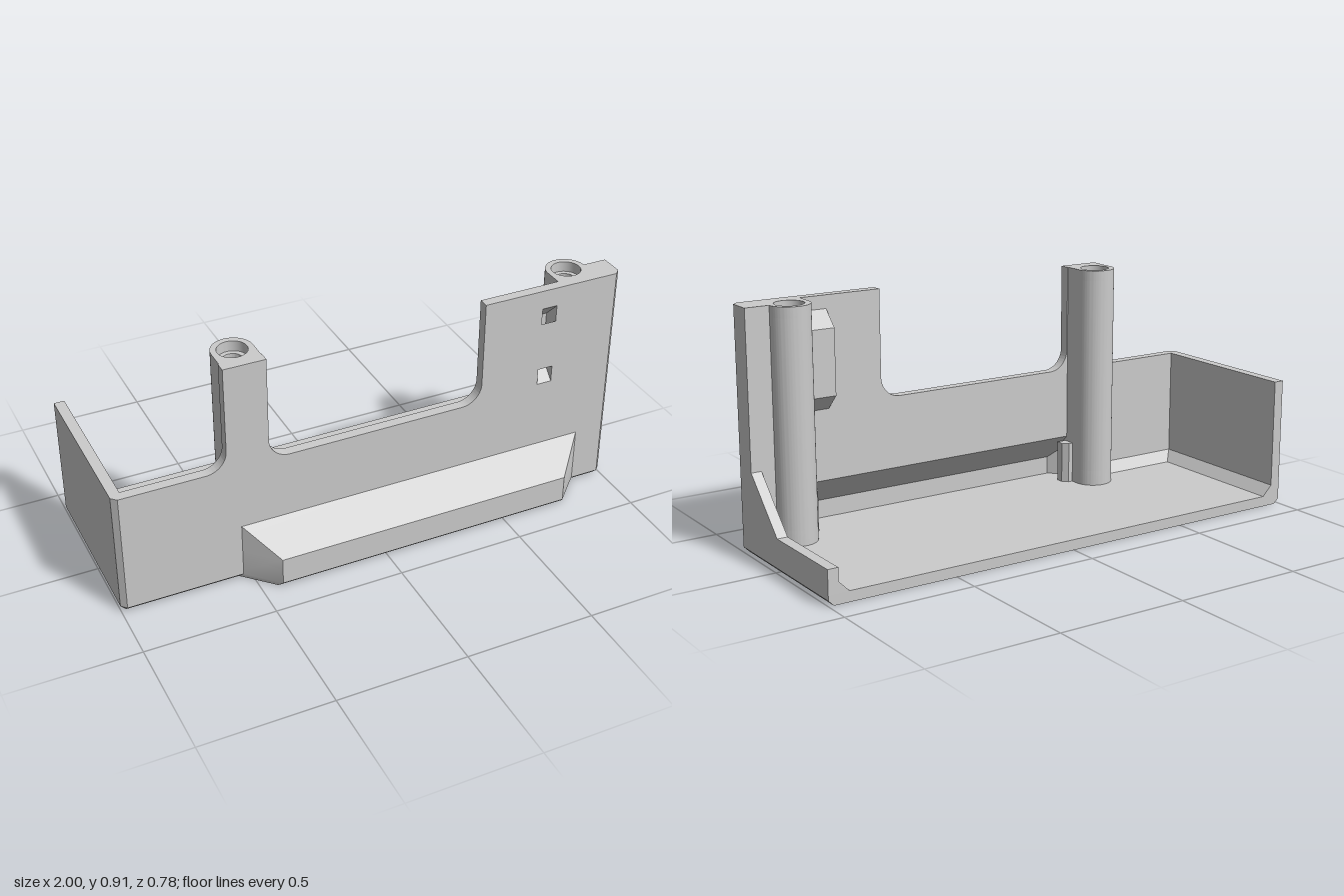
import * as THREE from 'three';
import { toCreasedNormals } from 'three/addons/utils/BufferGeometryUtils.js';

const material = new THREE.MeshStandardMaterial({ color: 0xcccccc, side: THREE.DoubleSide });

const polygon = (pts) => new THREE.Shape(pts.map(([x, y]) => new THREE.Vector2(x, y)));
const rectHole = (x0, x1, y0, y1) => new THREE.Path(polygon([[x0, y0], [x0, y1], [x1, y1], [x1, y0]]).getPoints());
const circleHole = (x, y, r) => new THREE.Path().absarc(x, y, r, 0, Math.PI * 2, true);
const extrude = (shape, depth, steps = 1) =>
  new THREE.ExtrudeGeometry(shape, { depth, steps, bevelEnabled: false, curveSegments: 24 });

// Extrude upward: shape is drawn in (x, -z)
const extrudeUp = (shape, y0, y1, steps) => extrude(shape, y1 - y0, steps).rotateX(-Math.PI / 2).translate(0, y0, 0);
// Extrude sideways: profile is drawn in (z, y)
const extrudeAcross = (pts, x0, x1) => extrude(polygon(pts), x1 - x0).rotateY(-Math.PI / 2).translate(x1, 0, 0);

// Pull in the bottom edge and the front vertical corners by a small chamfer
function chamfer(geo) {
  const p = geo.attributes.position;
  for (let i = 0; i < p.count; i++) {
    const low = p.getY(i) < 0.001, front = p.getZ(i) > 0.279;
    if (low || front) p.setX(i, THREE.MathUtils.clamp(p.getX(i), -0.98, 0.98));
    if (low) p.setZ(i, Math.min(p.getZ(i), 0.26));
  }
  return geo;
}

// Shell with a trapezoid plan, open at the back; rows are [y, depth, inset]
function trapezoidShell(x0, x1, z0, rows) {
  const loops = rows.map(([y, d, i]) => [
    [x0 + i, y, z0], [x0 + i + d, y, z0 + d], [x1 - i - d, y, z0 + d], [x1 - i, y, z0],
  ]);
  const pos = [];
  for (let r = 0; r + 1 < loops.length; r++) {
    for (let k = 0; k < 3; k++) {
      const a = loops[r][k], b = loops[r][k + 1], c = loops[r + 1][k + 1], d = loops[r + 1][k];
      pos.push(...a, ...b, ...c, ...a, ...c, ...d);
    }
  }
  const geo = new THREE.BufferGeometry();
  geo.setAttribute('position', new THREE.Float32BufferAttribute(pos, 3));
  return geo;
}

export function createModel() {
  const model = new THREE.Group();
  model.name = 'bracketTray';
  const add = (name, geo) => {
    const mesh = new THREE.Mesh(toCreasedNormals(geo, 0.5), material);
    mesh.name = name;
    model.add(mesh);
  };
  const box = (name, x0, x1, y0, y1, z0, z1) =>
    add(name, new THREE.BoxGeometry(x1 - x0, y1 - y0, z1 - z0)
      .translate((x0 + x1) / 2, (y0 + y1) / 2, (z0 + z1) / 2));

  const postX = [-0.5, 0.83], postZ = 0.17, postR = 0.077, wideR = 0.055, boreR = 0.037;

  // Floor with screw holes
  const floor = polygon([[-1, 0.39], [-1, -0.26], [-0.98, -0.28], [0.98, -0.28], [1, -0.26], [1, 0.39]]);
  postX.forEach((x) => floor.holes.push(circleHole(x, -postZ, wideR)));
  add('floor', chamfer(extrudeUp(floor, 0, 0.04, 2)));

  // Front wall with two uprights, filleted at their feet
  const f = 0.08, low = 0.497, top = 0.91, H = Math.PI / 2;
  const wall = new THREE.Shape();
  wall.moveTo(-1, 0.02).lineTo(1, 0.02).lineTo(1, top).lineTo(0.43, top);
  wall.absarc(0.43 - f, low + f, f, 0, -H, true);
  wall.absarc(-0.42 + f, low + f, f, -H, -2 * H, true);
  wall.lineTo(-0.42, top).lineTo(-0.58, top);
  wall.absarc(-0.58 - f, low + f, f, 0, -H, true);
  wall.lineTo(-1, low);
  wall.holes.push(rectHole(-0.515, 0.845, 0.04, 0.22), rectHole(0.67, 0.73, 0.51, 0.835));
  add('frontWall', chamfer(extrude(wall, 0.04, 2).translate(0, 0, 0.24)));

  // Side walls: full height on the right, low with a rising brace on the left
  box('rightWall', -1, -0.96, 0.02, low, -0.39, 0.26);
  add('leftWall', extrudeAcross(
    [[-0.39, 0.02], [0.26, 0.02], [0.26, 0.32], [0.17, 0.32], [-0.02, 0.13], [-0.39, 0.13]], 0.96, 1));

  // Sloped fillets along the floor
  for (const s of [-1, 1]) {
    const tri = polygon([[s * 0.96, 0.04], [s * 0.92, 0.04], [s * 0.96, 0.08]]);
    add('sideFillet', extrude(tri, 0.63).translate(0, 0, -0.39));
  }
  add('frontFillet', extrudeAcross([[0.24, 0.04], [0.24, 0.08], [0.2, 0.04]], -0.96, -0.57));

  // Screw posts: stacked sections give the counterbores at both ends
  postX.forEach((x, i) => {
    const edge = i ? 1 : x + postR, front = i ? 0.26 : 0.27;
    for (const [y0, y1, r] of [[0.04, 0.1, wideR], [0.1, 0.87, boreR], [0.87, top, wideR]]) {
      const s = new THREE.Shape();
      s.moveTo(x + postR, -postZ).absarc(x, -postZ, postR, 0, Math.PI, false);
      s.lineTo(x - postR, -front).lineTo(edge, -front).lineTo(edge, -postZ);
      s.holes.push(circleHole(x, -postZ, r));
      add('screwPost', extrudeUp(s, y0, y1));
    }
  });

  // Hollow front bulge and the ribs at the ends of its pocket
  add('bulgeOuter', trapezoidShell(-0.555, 0.885, 0.26,
    [[0, 0, 0.028], [0, 0.11, 0.008], [0.02, 0.13, 0], [0.125, 0.13, 0], [0.237, 0.02, 0], [0.257, 0, 0]]));
  add('bulgePocket', trapezoidShell(-0.515, 0.845, 0.24,
    [[0.04, 0, 0], [0.04, 0.11, 0], [0.11, 0.11, 0], [0.22, 0, 0]]));
  for (const [x, dir] of [[-0.43, 1], [0.76, -1]]) {
    const rib = polygon([[x, -0.25], [x + dir * 0.045, -0.25], [x + dir * 0.045, -0.22], [x + dir * 0.025, -0.2], [x, -0.2]]);
    add('pocketRib', extrudeUp(rib, 0.04, 0.2));
  }

  // Tie loop behind the two windows: solid cheeks, curved-back channel and core
  const cheek = [[0.24, 0.49], [0.24, 0.86], [0.18, 0.8], [0.18, 0.55]];
  add('tieLoopCheek', extrudeAcross(cheek, 0.65, 0.67));
  add('tieLoopCheek', extrudeAcross(cheek, 0.73, 0.755));
  add('tieLoopBack', extrudeAcross([[0.28, 0.835], [0.215, 0.77], [0.215, 0.575], [0.28, 0.51],
    [0.24, 0.51], [0.24, 0.49], [0.18, 0.55], [0.18, 0.8], [0.24, 0.86], [0.24, 0.835]], 0.67, 0.73));
  add('tieLoopCore', extrudeAcross([[0.28, 0.575], [0.28, 0.77], [0.24, 0.73], [0.24, 0.615]], 0.67, 0.73));

  return model;
}
